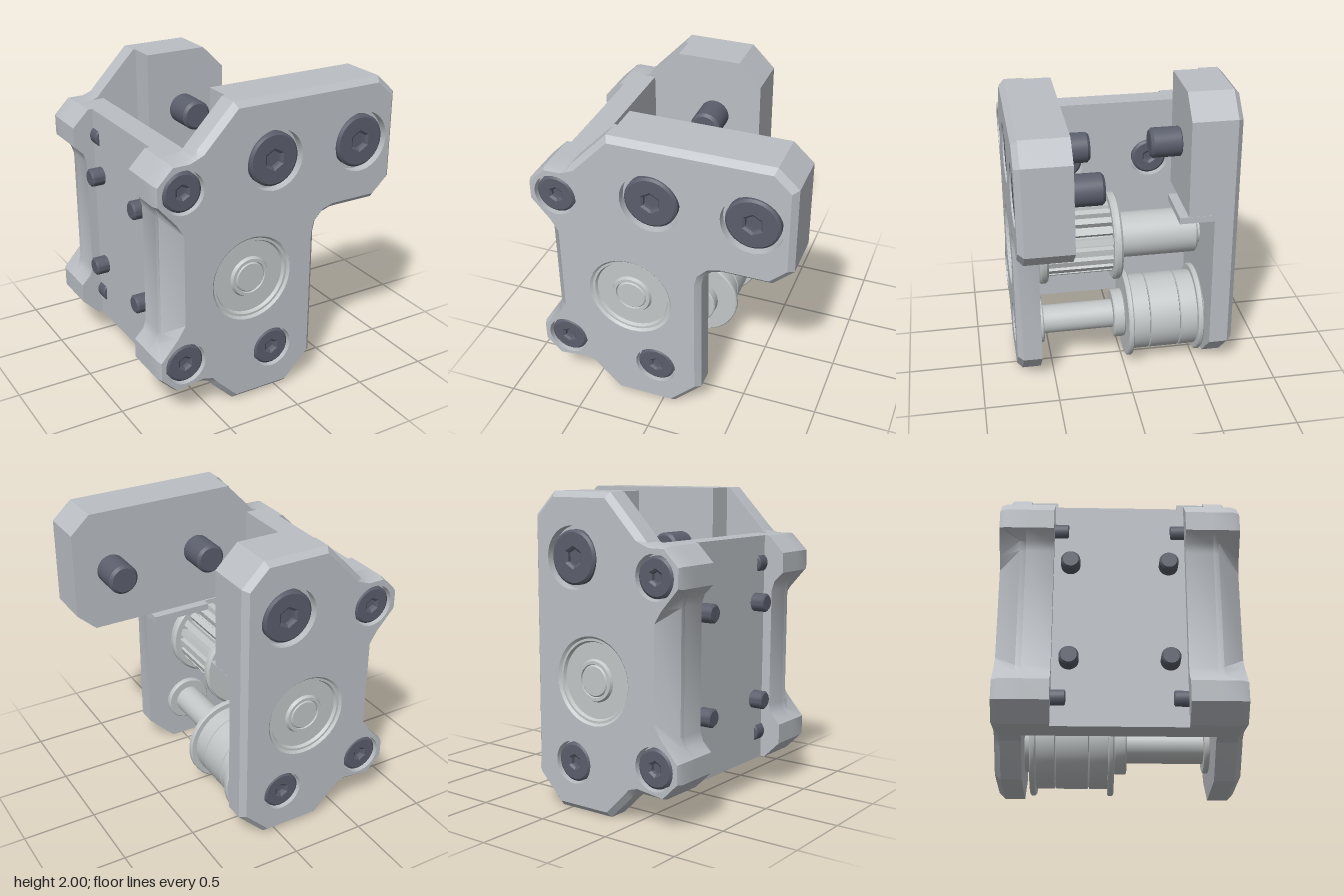
import * as THREE from 'three';
import { toCreasedNormals } from 'three/addons/utils/BufferGeometryUtils.js';

const mat = (name, color, side = THREE.FrontSide) => {
  const m = new THREE.MeshStandardMaterial({ color, side });
  m.name = name;
  return m;
};
const V = (x, y) => new THREE.Vector2(x, y);

export function createModel() {
  const root = new THREE.Group();
  root.name = 'pulleyBracket';
  const alloy = mat('light alloy', 0xbbbfc4);
  const steel = mat('polished steel', 0xc3c7c8);
  const dark = mat('dark screw steel', 0x5b5f6c);

  const add = (parent, name, geo, material, x = 0, y = 0, z = 0) => {
    const m = new THREE.Mesh(geo, material);
    m.name = name;
    m.position.set(x, y, z);
    parent.add(m);
    return m;
  };
  const group = (parent, name) => {
    const g = new THREE.Group();
    g.name = name;
    parent.add(g);
    return g;
  };
  // turned part about z from [radius, z] pairs
  const turned = (profile, n = 40) => toCreasedNormals(
    new THREE.LatheGeometry(profile.map(p => V(p[0], p[1])), n).rotateX(Math.PI / 2), 0.5);
  // solid disc or rod with a small edge chamfer
  const rod = (r, z0, z1, c = 0.008) => turned(
    [[0, z0], [r - c, z0], [r, z0 + c], [r, z1 - c], [r - c, z1], [0, z1]]);

  // prism from outline; the front rim narrows to the inner outline, with round holes in the front
  function prism(outer, z0, z1, inner = outer, shoulder = () => z1, holes = []) {
    const pos = [];
    const tri = (...ps) => ps.forEach(p => pos.push(p[0], p[1], p[2]));
    const quad = (a, b, c, d) => { tri(a, b, c); tri(a, c, d); };
    outer.forEach((p, i) => {
      const j = (i + 1) % outer.length, q = outer[j];
      const a = [p.x, p.y, shoulder(p)], b = [q.x, q.y, shoulder(q)];
      quad([p.x, p.y, z0], [q.x, q.y, z0], b, a);
      if (inner !== outer) quad(a, b, [inner[j].x, inner[j].y, z1], [inner[i].x, inner[i].y, z1]);
    });
    const rings = holes.map(([x, y, r]) => Array.from({ length: 40 }, (_, k) => {
      const t = k / 40 * Math.PI * 2;
      return V(x + r * Math.sin(t), y + r * Math.cos(t));
    }));
    const pts = [...inner, ...rings.flat()];
    for (const f of THREE.ShapeUtils.triangulateShape(inner, rings)) {
      tri(...f.map(i => [pts[i].x, pts[i].y, z1]));
    }
    for (const f of THREE.ShapeUtils.triangulateShape(outer, [])) {
      tri(...[f[0], f[2], f[1]].map(i => [outer[i].x, outer[i].y, z0]));
    }
    const g = new THREE.BufferGeometry();
    g.setAttribute('position', new THREE.Float32BufferAttribute(pos, 3));
    return toCreasedNormals(g, 0.5);
  }
  const outline = (list, flip) => {
    const pts = list.map(p => V(flip ? -p[0] : p[0], p[1]));
    return THREE.ShapeUtils.isClockWise(pts) ? pts.reverse() : pts;
  };

  // sunken cap screw facing +z with a hexagonal socket
  function capScrew(parent, x, y, z, r, holeR) {
    const g = group(parent, 'capScrew');
    g.position.set(x, y, z);
    add(g, 'screwPocket', turned([[holeR, 0], [holeR, -0.06], [0, -0.06]]), alloy);
    const shape = new THREE.Shape().absarc(0, 0, r - 0.015, 0, Math.PI * 2);
    const hex = r * 0.43;
    shape.holes.push(new THREE.Path(Array.from({ length: 6 }, (_, k) =>
      V(hex * Math.sin(-k * Math.PI / 3), hex * Math.cos(k * Math.PI / 3)))));
    const head = new THREE.ExtrudeGeometry(shape, {
      depth: 0.035, bevelSize: 0.015, bevelThickness: 0.012, bevelSegments: 1, curveSegments: 32 });
    add(g, 'screwHead', toCreasedNormals(head, 0.5), dark, 0, 0, -0.056);
    add(g, 'socketFloor', new THREE.CircleGeometry(hex, 6), dark, 0, 0, -0.045);
  }

  // side plates
  const left = [[-0.32, 0], [-0.47, 0.15], [-0.5, 0.185], [-0.55, 0.2], [-0.74, 0.2], [-0.85, 0.31], [-0.85, 0.44],
    [-0.79, 0.5], [-0.77, 0.56], [-0.77, 1.34], [-0.79, 1.4], [-0.85, 1.46], [-0.85, 1.59], [-0.74, 1.7],
    [-0.63, 1.7], [-0.59, 1.715], [-0.56, 1.75], [-0.32, 2]];
  const frontRight = [[0.72, 2], [0.85, 1.88], [0.85, 1.31], [0.72, 1.19], [0.4, 1.19], [0.335, 1.17],
    [0.285, 1.12], [0.27, 1.05], [0.27, 0.19], [0.08, 0]];
  const backRight = [[0.12, 2], [0.27, 1.85], [0.27, 0.19], [0.08, 0]];
  const smallScrews = [[-0.67, 1.52], [-0.67, 0.38], [-0.04, 0.31]];

  function sidePlate(name, right, bigScrews, block, lipEnd, flip) {
    const g = group(root, name);
    if (flip) g.rotation.y = Math.PI;
    const s = flip ? -1 : 1;
    const outer = outline([...left, ...right], flip);
    const inWaist = p => p.x * s < -0.76 && p.y > 0.47 && p.y < 1.43;
    const inner = outer.map((p, i) => {
      if (inWaist(p)) {
        const deep = p.y > 0.53 && p.y < 1.37;
        const up = p.y > 0.95 ? -1 : 1;
        return V(s * (deep ? -0.67 : -0.72), p.y + up * (deep ? 0.09 : 0.07));
      }
      const a = outer[(i + outer.length - 1) % outer.length], b = outer[(i + 1) % outer.length];
      const d1 = p.clone().sub(a).normalize(), d2 = b.clone().sub(p).normalize();
      const k = (p.x * s < -0.56 ? 0.012 : 0.036) / (1 + d1.dot(d2));
      return V(p.x - (d1.y + d2.y) * k, p.y + (d1.x + d2.x) * k);
    });
    const holes = [...bigScrews.map(p => [p[0] * s, p[1], 0.195]),
      ...smallScrews.map(p => [p[0] * s, p[1], 0.138]), [-0.2 * s, 0.85, 0.28]];
    add(g, 'plate', prism(outer, 0.585, 0.75, inner, p => inWaist(p) ? 0.62 : 0.713, holes), alloy);
    // thick mounting block and the thin lip beneath it
    add(g, 'mountingBlock', prism(outline(block, flip), 0.41, 0.585), alloy);
    const w = lipEnd + 0.1;
    add(g, 'lip', new THREE.BoxGeometry(w, 0.045, 0.235), alloy, s * (lipEnd - w / 2), 1.166, 0.4675);
    for (const [x, y] of bigScrews) {
      capScrew(g, x * s, y, 0.75, 0.17, 0.195);
      add(g, 'mountingScrewTip', rod(0.1, 0.2, 0.42, 0.018), dark, x * s, y);
    }
    for (const [x, y] of smallScrews) capScrew(g, x * s, y, 0.75, 0.125, 0.138);
    // bearing seated in its bore
    add(g, 'bearing', turned([[0.28, 0.75], [0.265, 0.735], [0.25, 0.735], [0.24, 0.715], [0.135, 0.715],
      [0.125, 0.735], [0.105, 0.735], [0.1, 0.72], [0, 0.72]], 48), steel, -0.2 * s, 0.85);
    // flange of the connecting web
    const lobe = left.slice(4, 14);
    add(g, 'webFlange', prism(outline([[-0.71, 0.2], ...lobe, [-0.71, 1.7]], flip), 0.41, 0.585), alloy);
    for (const y of [0.38, 1.52]) add(g, 'cornerScrewTip', rod(0.065, 0.32, 0.42), dark, -0.67 * s, y);
  }
  sidePlate('frontPlate', frontRight, [[-0.045, 1.6], [0.59, 1.6]],
    [[-0.3, 1.19], [-0.3, 2], ...frontRight.slice(0, 4)], 0.31, false);
  sidePlate('backPlate', backRight, [[-0.045, 1.6]],
    [[-0.3, 1.19], [-0.3, 2], [0.12, 2], [0.27, 1.85], [0.27, 1.19]], 0.27, true);

  // connecting web, screws facing inward
  const web = group(root, 'connectingWeb');
  web.rotation.y = Math.PI / 2;
  const spots = [-0.305, 0.305].flatMap(x => [[x, 1.27], [x, 0.62]]);
  const rect = outline([[-0.585, 0.2], [0.585, 0.2], [0.585, 1.7], [-0.585, 1.7]]);
  add(web, 'webPanel', prism(rect, -0.71, -0.55, rect, () => -0.55, spots.map(p => [...p, 0.138])), alloy);
  for (const [x, y] of spots) {
    capScrew(web, x, y, -0.55, 0.122, 0.138);
    add(web, 'webScrewTip', rod(0.06, -0.8, -0.7, 0.012), dark, x, y);
  }

  // toothed drive pulley
  const drive = group(root, 'drivePulley');
  drive.position.set(-0.2, 0.85, 0);
  const teeth = 20, step = Math.PI * 2 / teeth, gear = [];
  for (let i = 0; i < teeth; i++) {
    for (const [r, f] of [[0.205, -0.42], [0.247, -0.28], [0.247, 0.28], [0.205, 0.42]]) {
      gear.push(V(r * Math.cos((i + f) * step), r * Math.sin((i + f) * step)));
    }
  }
  add(drive, 'teeth', prism(gear, 0.04, 0.51), steel);
  add(drive, 'outerFlange', rod(0.298, 0.5, 0.56, 0.015), steel);
  add(drive, 'innerFlange', rod(0.308, -0.01, 0.05, 0.015), steel);
  add(drive, 'hub', rod(0.16, -0.56, 0, 0.012), steel);
  add(drive, 'shaft', rod(0.1, -0.735, 0.735), steel);

  // smooth idler on its axle
  const idler = group(root, 'idler');
  idler.position.set(-0.04, 0.31, 0);
  add(idler, 'axle', rod(0.1, -0.59, 0.59), steel);
  for (const [r, a, b] of [[0.16, 0.55, 0.59], [0.17, -0.02, 0.06], [0.16, -0.59, -0.545]]) {
    add(idler, 'spacer', rod(r, a, b), steel);
  }
  add(idler, 'roller', turned([[0, -0.51], [0.265, -0.51], [0.265, -0.395], [0.25, -0.39], [0.265, -0.385],
    [0.265, -0.185], [0.25, -0.18], [0.265, -0.175], [0.265, -0.06], [0, -0.06]], 48), steel);
  add(idler, 'rollerFlangeFront', rod(0.308, -0.06, -0.022), steel);
  add(idler, 'rollerFlangeBack', rod(0.308, -0.548, -0.51), steel);

  return root;
}
